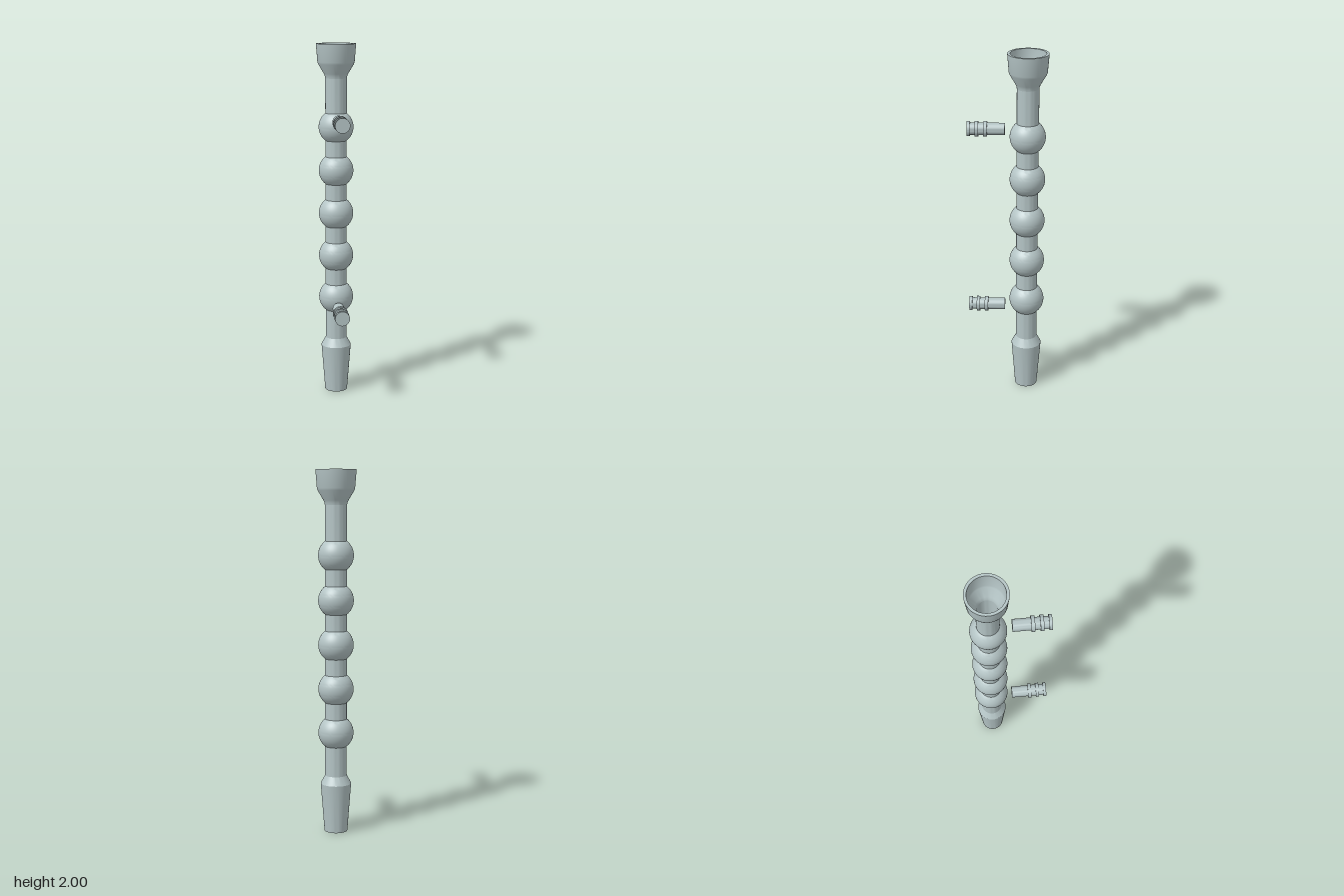
import * as THREE from 'three';
import { toCreasedNormals } from 'three/addons/utils/BufferGeometryUtils.js';

const AXIS_Z = -0.109;
const TUBE_R = 0.06, TUBE_IN = 0.052;
const BULB_R = 0.0975, BULB_IN = 0.0895;
const BULBS = [0.56, 0.805, 1.05, 1.295, 1.54];
const BULB_HALF = Math.sqrt(BULB_R ** 2 - TUBE_R ** 2);

export function createModel() {
  const group = new THREE.Group();
  const glass = new THREE.MeshStandardMaterial({ color: 0xb4c4c5 });
  glass.name = 'paleGreyGlass';

  // Revolve a list of [radius, height] points, keeping sharp corners crisp
  const lathe = (name, points) => {
    const geo = new THREE.LatheGeometry(points.map(([r, y]) => new THREE.Vector2(r, y)), 48);
    const mesh = new THREE.Mesh(toCreasedNormals(geo, 0.45), glass);
    mesh.name = name;
    group.add(mesh);
    return mesh;
  };
  const bodyPart = (name, points) => {
    lathe(name, points).position.z = AXIS_Z;
  };

  // Tapered ground joint at the bottom, hollow
  bodyPart('lowerJoint', [
    [0.055, 0], [0.064, 0], [0.085, 0.272], [TUBE_R, 0.318],
  ]);
  bodyPart('lowerJointInside', [
    [TUBE_IN, 0.318], [0.076, 0.268], [0.055, 0],
  ]);

  // Flared socket at the top, with a thick rim
  bodyPart('upperSocket', [
    [TUBE_R, 1.81], [0.062, 1.822], [0.068, 1.836], [0.099, 1.888],
    [0.103, 1.9], [0.111, 2], [0.096, 2],
    [0.092, 1.9], [0.088, 1.888], [0.06, 1.836], [0.054, 1.822], [TUBE_IN, 1.81],
  ]);

  // Straight tubes between the bulbs and the two joints
  const stops = [0.318, ...BULBS.flatMap((y) => [y - BULB_HALF, y + BULB_HALF]), 1.81];
  for (let i = 0; i < stops.length; i += 2) {
    bodyPart('tube', [[TUBE_R, stops[i]], [TUBE_R, stops[i + 1]]]);
    bodyPart('tubeInside', [[TUBE_IN, stops[i + 1]], [TUBE_IN, stops[i]]]);
  }

  // Spherical bulbs, open where the tubes meet them
  const arc = (radius, neck, centre, dir) => {
    const limit = Math.acos(neck / radius);
    return Array.from({ length: 21 }, (_, i) => {
      const a = dir * limit * (i / 10 - 1);
      return [radius * Math.cos(a), centre + radius * Math.sin(a)];
    });
  };
  for (const y of BULBS) {
    bodyPart('bulb', arc(BULB_R, TUBE_R, y, 1));
    bodyPart('bulbInside', arc(BULB_IN, TUBE_IN, y, -1));
  }

  // Ribbed hose connectors pointing forward
  const r = 0.033, rib = 0.042;
  for (const y of [0.52, 1.583]) {
    const hose = lathe('hoseConnector', [
      [0, 0.014], [r, 0.014], [r, 0.11], [rib, 0.11], [rib, 0.13], [r, 0.13],
      [r, 0.157], [rib, 0.157], [rib, 0.176], [r, 0.176],
      [r, 0.202], [0.041, 0.202], [0.041, 0.219], [0, 0.219],
    ]);
    hose.rotation.x = Math.PI / 2;
    hose.position.y = y;
  }

  return group;
}
